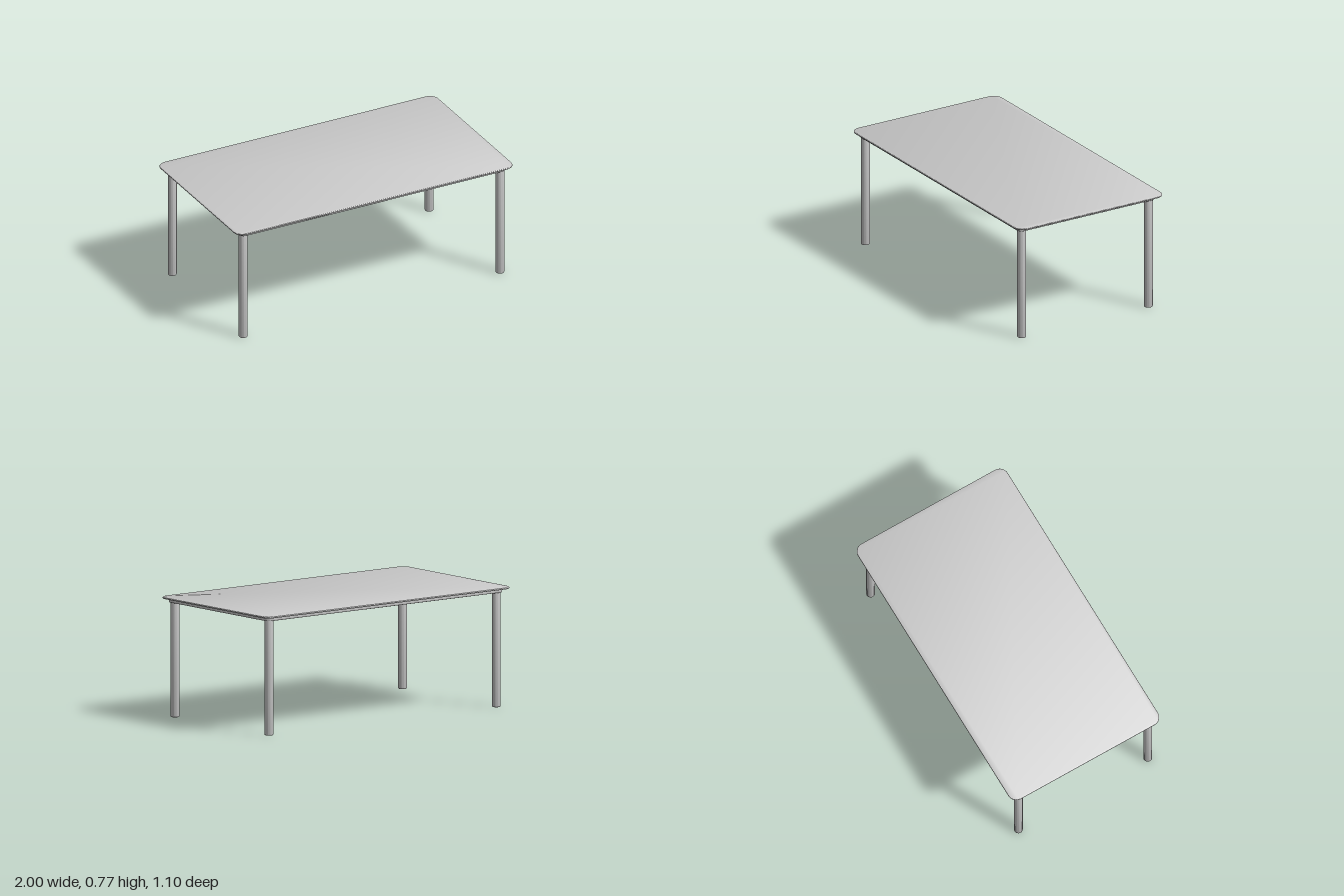
import * as THREE from 'three';
import { toCreasedNormals } from 'three/addons/utils/BufferGeometryUtils.js';

const material = new THREE.MeshStandardMaterial({ color: 0xcccccc });

// Traces a centred rectangle with rounded corners.
function roundedRect(path, width, depth, r) {
  const x = width / 2, y = depth / 2;
  path.moveTo(-x + r, -y);
  path.lineTo(x - r, -y);
  path.absarc(x - r, -y + r, r, -Math.PI / 2, 0);
  path.lineTo(x, y - r);
  path.absarc(x - r, y - r, r, 0, Math.PI / 2);
  path.lineTo(-x + r, y);
  path.absarc(-x + r, y - r, r, Math.PI / 2, Math.PI);
  path.lineTo(-x, -y + r);
  path.absarc(-x + r, -y + r, r, Math.PI, Math.PI * 1.5);
  return path;
}

// Extrudes a plan shape upward from y = bottom to y = top, with rounded edges.
function slab(name, shape, bottom, top, bevel) {
  const geometry = new THREE.ExtrudeGeometry(shape, {
    depth: top - bottom - 2 * bevel,
    curveSegments: 12,
    bevelThickness: bevel,
    bevelSize: bevel,
    bevelOffset: -bevel,
    bevelSegments: 4,
  });
  geometry.rotateX(-Math.PI / 2);
  geometry.translate(0, bottom + bevel, 0);
  const mesh = new THREE.Mesh(toCreasedNormals(geometry, 0.6), material);
  mesh.name = name;
  return mesh;
}

export function createModel() {
  const table = new THREE.Group();
  table.name = 'table';

  // Thin top with rounded corners and edges
  const top = roundedRect(new THREE.Shape(), 2, 1.104, 0.06);
  table.add(slab('tableTop', top, 0.763, 0.775, 0.005));

  // Underframe, set very slightly off centre together with the legs
  const base = new THREE.Group();
  base.name = 'base';
  base.position.set(-0.003, 0, 0.007);
  table.add(base);

  // Apron: a rectangular ring under the top
  const ring = roundedRect(new THREE.Shape(), 1.926, 1.03, 0.038);
  ring.holes.push(roundedRect(new THREE.Path(), 1.778, 0.882, 0.01));
  base.add(slab('apron', ring, 0.738, 0.764, 0.004));

  // Round legs with softened feet
  const r = 0.0285, soft = 0.007;
  const profile = [new THREE.Vector2(0, 0)];
  for (let i = 0; i <= 4; i++) {
    const a = (i / 4) * Math.PI / 2;
    profile.push(new THREE.Vector2(r - soft + soft * Math.sin(a), soft - soft * Math.cos(a)));
  }
  profile.push(new THREE.Vector2(r, 0.745));
  const legGeometry = toCreasedNormals(new THREE.LatheGeometry(profile, 32), 0.6);
  for (const [side, x] of [['Left', 0.925], ['Right', -0.925]]) {
    for (const [end, z] of [['front', 0.477], ['back', -0.477]]) {
      const leg = new THREE.Mesh(legGeometry, material);
      leg.name = `${end}${side}Leg`;
      leg.position.set(x, 0, z);
      base.add(leg);
    }
  }
  return table;
}
